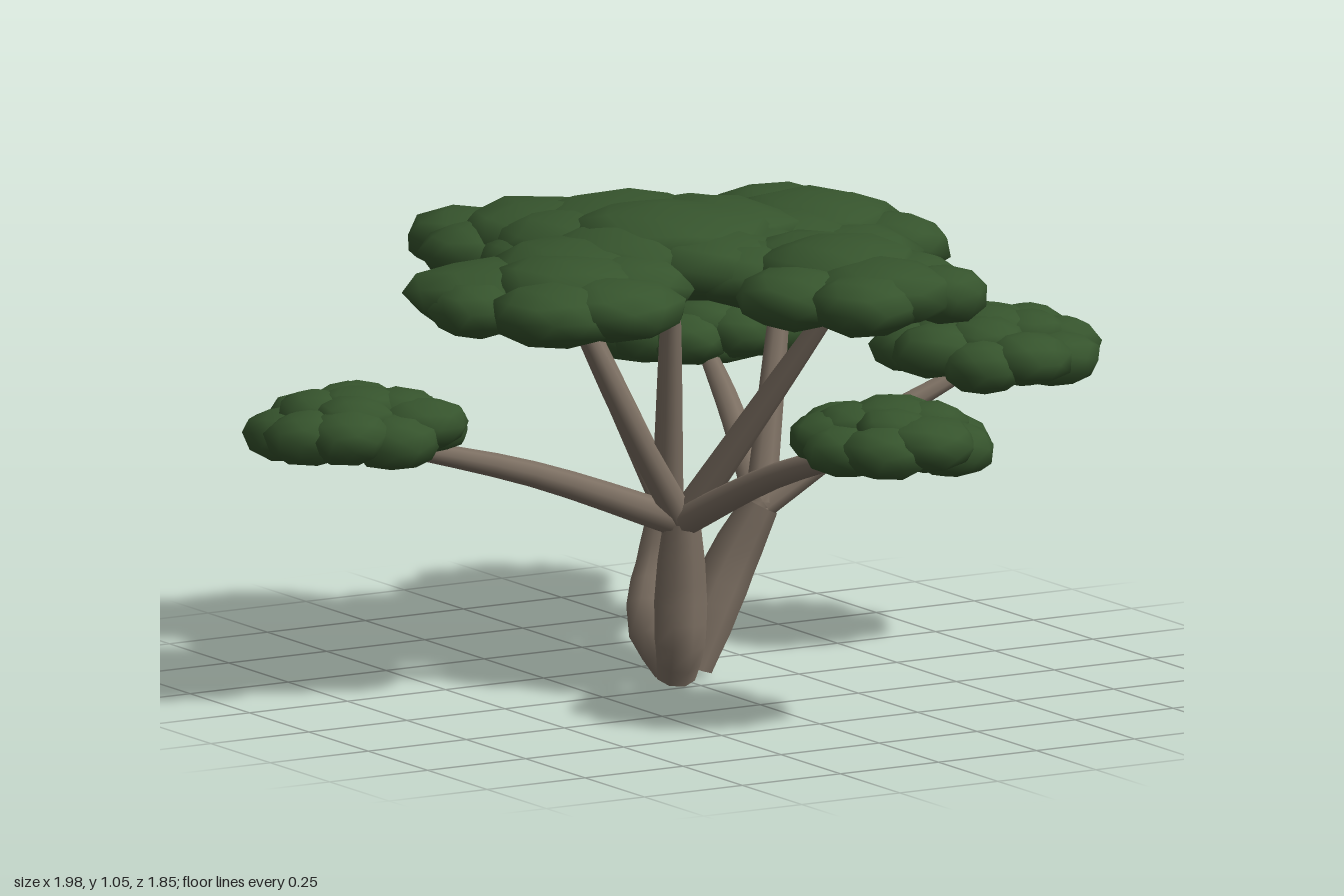
import * as THREE from 'three';
import { mergeGeometries, mergeVertices } from 'three/addons/utils/BufferGeometryUtils.js';

let seed = 7;
const rand = () => (seed = (seed * 16807) % 2147483647) / 2147483647;

// Leaf puff: an uneven low-poly ball, squashed flat
function puff(x, y, z, r, h) {
  let g = new THREE.IcosahedronGeometry(1, 1);
  g.rotateX(rand() * 6).rotateY(rand() * 6);
  g.deleteAttribute('uv');
  g.deleteAttribute('normal');
  g = mergeVertices(g, 1e-3);
  const pos = g.attributes.position;
  for (let i = 0; i < pos.count; i++) {
    const k = 0.96 + rand() * 0.13;
    const py = pos.getY(i);
    pos.setXYZ(i, pos.getX(i) * r * k, Math.sign(py) * Math.abs(py) ** 0.88 * h * k, pos.getZ(i) * r * k);
  }
  g.computeVertexNormals();
  return g.translate(x, y, z);
}

// Tube through points with a radius that follows a list of values
function limb(points, radii, segments = 8) {
  const curve = new THREE.CatmullRomCurve3(points.map(p => new THREE.Vector3(...p)));
  const sides = 8;
  const g = new THREE.TubeGeometry(curve, segments, 1, sides);
  const pos = g.attributes.position;
  const v = new THREE.Vector3();
  for (let i = 0; i <= segments; i++) {
    const t = i / segments, c = curve.getPointAt(t);
    const k = t * (radii.length - 1), a = Math.min(Math.floor(k), radii.length - 2);
    const r = THREE.MathUtils.lerp(radii[a], radii[a + 1], k - a);
    for (let j = 0; j <= sides; j++) {
      const n = i * (sides + 1) + j;
      v.fromBufferAttribute(pos, n).sub(c).multiplyScalar(r).add(c);
      pos.setXYZ(n, v.x, v.y, v.z);
    }
  }
  return g;
}

export function createModel() {
  const group = new THREE.Group();
  const bark = new THREE.MeshStandardMaterial({ color: 0x7d7063, side: THREE.DoubleSide });
  bark.name = 'bark';
  const leaf = new THREE.MeshStandardMaterial({ color: 0x36542d });
  leaf.name = 'leaf green';
  const add = (name, geometry, material) => {
    const m = new THREE.Mesh(geometry, material);
    m.name = name;
    group.add(m);
  };

  // Three leaning stems
  const forkA = [-0.045, 0.37, -0.005], forkB = [0.2, 0.37, -0.08], forkC = [0.03, 0.37, -0.19];
  const stems = {
    frontStem: [[-0.035, 0.02, -0.05], [-0.045, 0.1, -0.015], [-0.045, 0.22, -0.01], forkA],
    sideStem: [[0.045, 0.02, -0.11], [0.08, 0.12, -0.105], [0.14, 0.25, -0.1], forkB],
    backStem: [[-0.03, 0.03, -0.07], [-0.065, 0.13, -0.1], [-0.005, 0.25, -0.16], forkC],
  };
  for (const [name, points] of Object.entries(stems)) {
    add(name, limb(points, [0.045, 0.058, 0.06, 0.054, 0.042], 8), bark);
  }

  // Branches rising from each fork, slightly arched
  const branches = [
    ['leftLowBranch', forkA, [-0.7, 0.58, -0.2], 0.02],
    ['frontLowBranch', forkA, [0.06, 0.63, 0.64], 0.025],
    ['leftCanopyBranch', forkA, [-0.34, 0.87, 0.03], -0.01],
    ['frontCanopyBranch', forkA, [0.17, 0.9, 0.3], 0],
    ['rightLowBranch', forkB, [0.7, 0.63, -0.03], 0.015],
    ['backLowBranch', forkB, [0.43, 0.6, -0.7], 0.025],
    ['rightCanopyBranch', forkB, [0.36, 0.89, -0.24], 0],
    ['backCanopyBranch', forkC, [-0.09, 0.89, -0.48], 0],
    ['centreCanopyBranch', forkC, [-0.02, 0.92, -0.09], 0],
  ];
  for (const [name, from, to, arch] of branches) {
    const mid = from.map((v, i) => (v + to[i]) / 2 + (i === 1 ? arch : 0));
    add(name, limb([from, mid, to], [0.036, 0.031, 0.026, 0.018]), bark);
  }

  // Low leaf clusters: an outer ring, a raised inner ring and a lower centre
  const clusters = [
    ['rightLowLeaves', 0.745, 0.68, -0.025, 0.25, 0.265],
    ['leftLowLeaves', -0.745, 0.625, -0.21, 0.255, 0.23],
    ['frontLowLeaves', 0.075, 0.665, 0.675, 0.225, 0.245],
    ['backLowLeaves', 0.455, 0.63, -0.73, 0.245, 0.2],
  ];
  for (const [name, x, y, z, rx, rz] of clusters) {
    const parts = [puff(x, y + 0.035, z, 0.1, 0.05), puff(x, y - 0.025, z, 0.15, 0.05)];
    for (let i = 0; i < 9; i++) {
      const a = (i + rand() * 0.4) / 9 * Math.PI * 2, r = 0.09 + rand() * 0.02;
      parts.push(puff(x + Math.cos(a) * (rx - r), y - 0.005 + (rand() - 0.5) * 0.03,
        z + Math.sin(a) * (rz - r), r, 0.058));
    }
    for (let i = 0; i < 4; i++) {
      const a = (i + rand() * 0.5) / 4 * Math.PI * 2;
      parts.push(puff(x + Math.cos(a) * rx * 0.35, y + 0.025, z + Math.sin(a) * rz * 0.35, 0.09, 0.05));
    }
    add(name, mergeGeometries(parts), leaf);
  }

  // Upper canopy pads, each puff given as x, y, z, radius
  const canopy = {
    leftCanopy: [[-0.47, 0.9, -0.11, 0.18], [-0.45, 0.895, 0.13, 0.14], [-0.32, 0.9, 0.17, 0.15],
      [-0.27, 0.93, -0.08, 0.2], [-0.36, 0.925, 0.03, 0.17], [-0.55, 0.89, -0.04, 0.1],
      [-0.22, 0.92, 0.04, 0.15]],
    backCanopy: [[-0.23, 0.92, -0.59, 0.14], [-0.28, 0.92, -0.46, 0.13], [-0.02, 0.92, -0.54, 0.185],
      [-0.14, 0.95, -0.42, 0.2], [0.04, 0.93, -0.45, 0.14], [-0.24, 0.92, -0.3, 0.13]],
    rightCanopy: [[0.43, 0.93, -0.4, 0.16], [0.56, 0.91, -0.34, 0.14], [0.42, 0.94, -0.24, 0.2],
      [0.4, 0.91, -0.03, 0.15], [0.55, 0.91, -0.11, 0.13], [0.24, 0.93, -0.42, 0.13],
      [0.27, 0.93, -0.14, 0.18]],
    frontCanopy: [[0.2, 0.95, 0.25, 0.18], [0.03, 0.92, 0.35, 0.13], [0.2, 0.93, 0.43, 0.16],
      [0.31, 0.92, 0.33, 0.14], [0.33, 0.92, 0.47, 0.1], [0.2, 0.94, 0.14, 0.16],
      [0.12, 0.92, 0.49, 0.12]],
    centreCanopy: [[0, 0.97, -0.13, 0.23], [-0.02, 0.965, -0.3, 0.22], [0.14, 0.96, -0.18, 0.2],
      [-0.12, 0.95, -0.1, 0.2], [0.02, 0.94, 0.02, 0.18], [-0.15, 0.95, -0.28, 0.18],
      [0.05, 0.93, 0.1, 0.14], [0.16, 0.93, -0.02, 0.15]],
  };
  for (const [name, puffs] of Object.entries(canopy)) {
    add(name, mergeGeometries(puffs.map(([x, y, z, r]) => puff(x, y, z, r, 0.048 + r * 0.14))), leaf);
  }
  return group;
}
